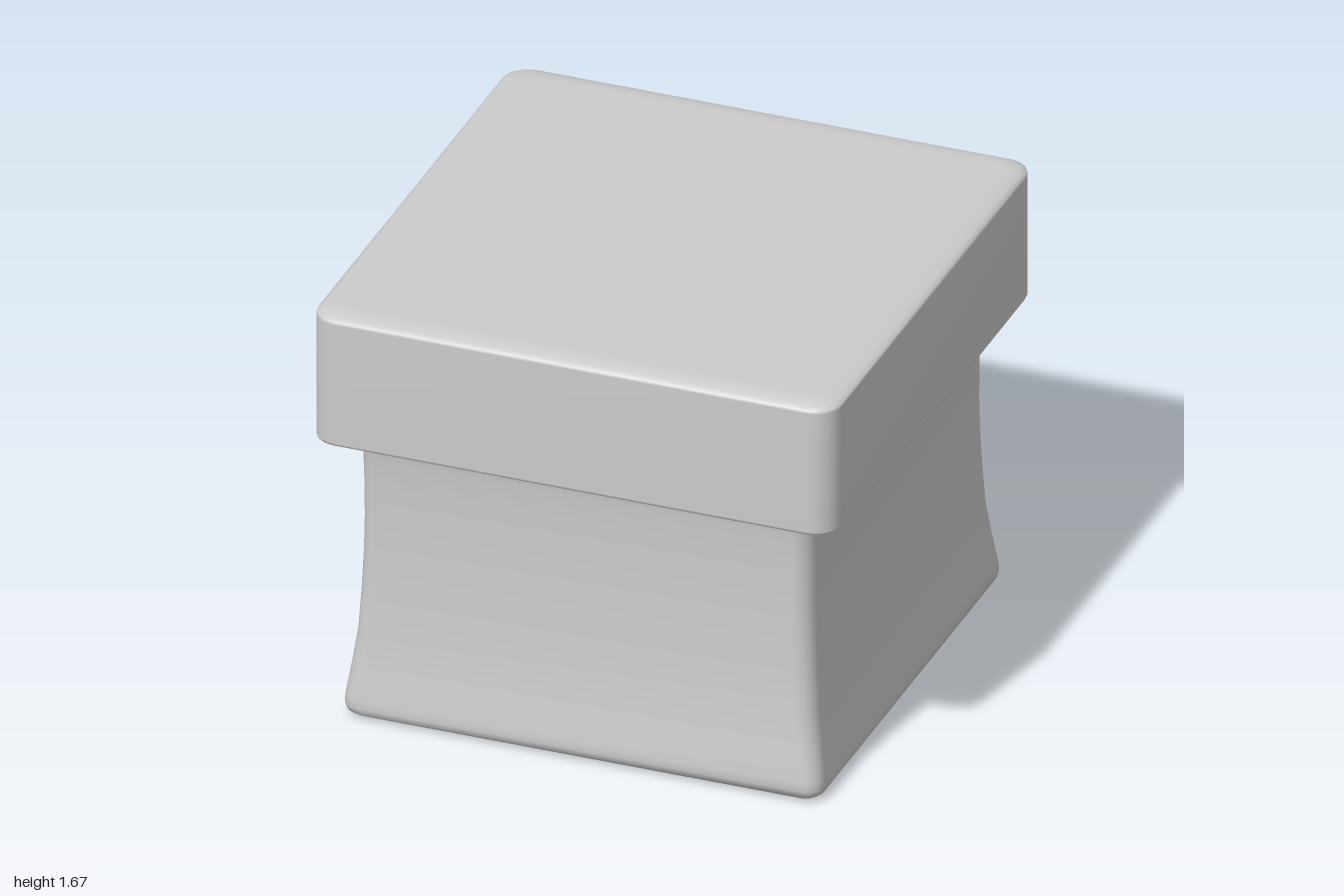
import * as THREE from 'three';

const CORNER_STEPS = 6;

// Stacks rounded squares of [half width, corner radius, height] and closes both ends.
function loftRoundedSquares(sections) {
  const positions = [], index = [];
  const n = 4 * (CORNER_STEPS + 1);
  for (const [half, radius, y] of sections) {
    for (let corner = 0; corner < 4; corner++) {
      const mid = (corner + 0.5) * Math.PI / 2;
      const cx = Math.sign(Math.cos(mid)) * (half - radius);
      const cz = Math.sign(Math.sin(mid)) * (half - radius);
      for (let s = 0; s <= CORNER_STEPS; s++) {
        const a = (corner + s / CORNER_STEPS) * Math.PI / 2;
        positions.push(cx + radius * Math.cos(a), y, cz + radius * Math.sin(a));
      }
    }
  }
  // Walls
  for (let i = 0; i < sections.length - 1; i++) {
    for (let j = 0; j < n; j++) {
      const a = i * n + j, b = i * n + (j + 1) % n;
      index.push(a, a + n, b, b, a + n, b + n);
    }
  }
  // Flat end caps
  const last = (sections.length - 1) * n;
  const bottom = sections.length * n, top = bottom + 1;
  positions.push(0, sections[0][2], 0, 0, sections[sections.length - 1][2], 0);
  for (let j = 0; j < n; j++) {
    const k = (j + 1) % n;
    index.push(bottom, j, k, top, last + k, last + j);
  }
  const geometry = new THREE.BufferGeometry();
  geometry.setAttribute('position', new THREE.Float32BufferAttribute(positions, 3));
  geometry.setIndex(index);
  geometry.computeVertexNormals();
  return geometry;
}

export function createModel() {
  const model = new THREE.Group();
  model.name = 'liddedBox';
  const material = new THREE.MeshStandardMaterial({ color: 0xcccccc });

  const addPart = (name, sections) => {
    const mesh = new THREE.Mesh(loftRoundedSquares(sections), material);
    mesh.name = name;
    model.add(mesh);
  };

  // Waisted body: rounded foot, narrow middle, slight flare under the lid
  addPart('body', [
    [0.85, 0.03, 0],
    [0.885, 0.05, 0.008],
    [0.907, 0.065, 0.025],
    [0.915, 0.07, 0.05],
    [0.912, 0.07, 0.085],
    [0.895, 0.07, 0.2],
    [0.878, 0.07, 0.33],
    [0.868, 0.07, 0.5],
    [0.862, 0.07, 0.66],
    [0.86, 0.07, 0.78],
    [0.861, 0.07, 0.92],
    [0.864, 0.07, 1.05],
    [0.872, 0.07, 1.09],
    [0.885, 0.07, 1.15],
  ]);

  // Overhanging lid with softened rims
  addPart('lid', [
    [0.91, 0.04, 1.13],
    [0.945, 0.06, 1.132],
    [0.98, 0.085, 1.14],
    [0.997, 0.098, 1.15],
    [1, 0.1, 1.16],
    [1, 0.1, 1.64],
    [0.997, 0.098, 1.65],
    [0.98, 0.085, 1.66],
    [0.945, 0.06, 1.668],
    [0.91, 0.04, 1.67],
  ]);

  return model;
}
